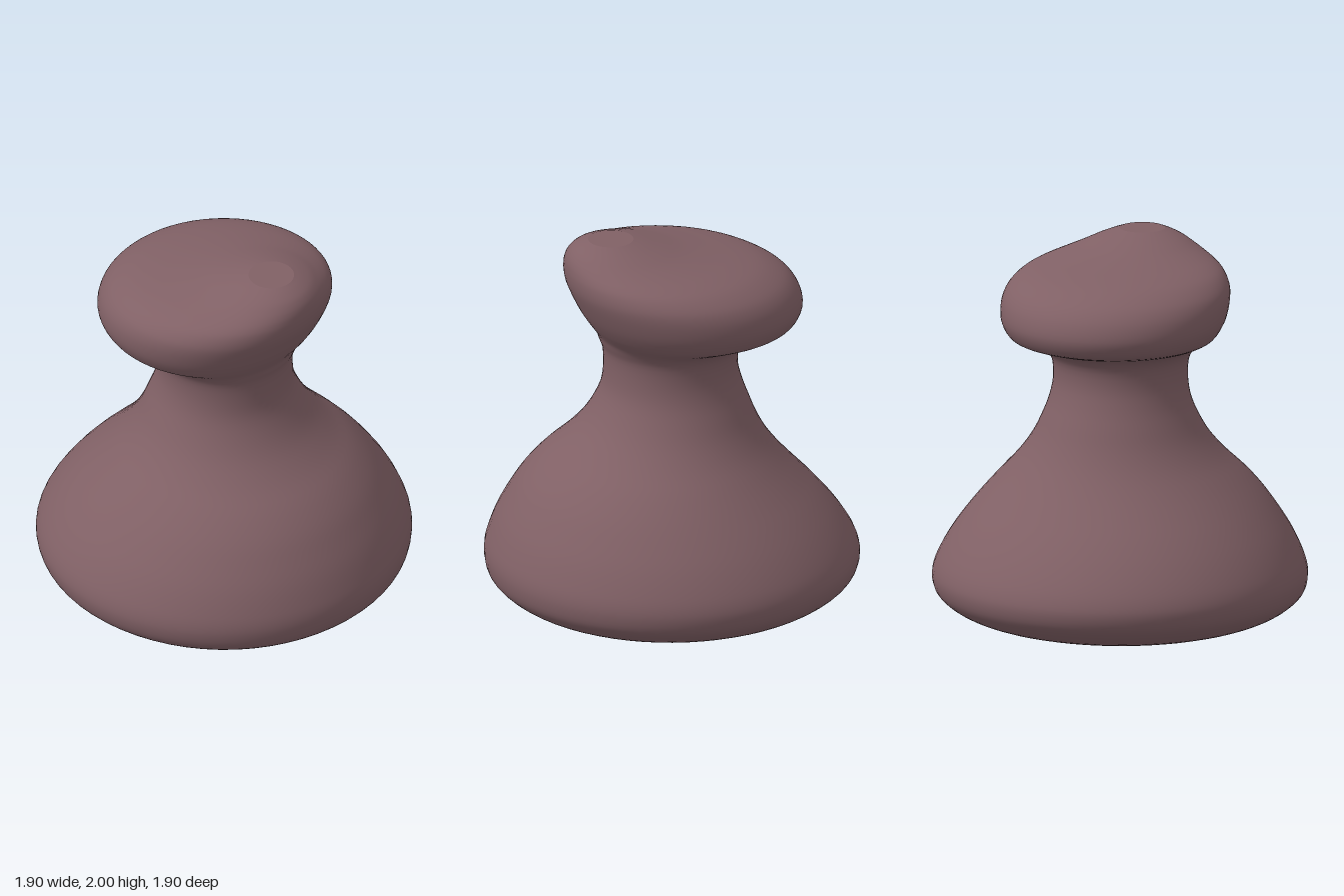
import * as THREE from 'three';

const SIDES = 64, RINGS = 110;

// Horizontal circular sections: [height, left edge x, right edge x]
const sections = [
  [0, -0.295, 0.3], [0.05, -0.64, 0.67], [0.1, -0.8, 0.815], [0.15, -0.885, 0.89],
  [0.2, -0.933, 0.932], [0.27, -0.952, 0.948], [0.33, -0.94, 0.945], [0.4, -0.905, 0.925],
  [0.5, -0.835, 0.885], [0.6, -0.75, 0.83], [0.7, -0.655, 0.765], [0.8, -0.565, 0.675],
  [0.9, -0.49, 0.56], [1, -0.435, 0.465], [1.1, -0.395, 0.4], [1.2, -0.358, 0.358],
  [1.3, -0.335, 0.347], [1.4, -0.345, 0.352], [1.45, -0.385, 0.37], [1.48, -0.46, 0.38],
  [1.5, -0.53, 0.39], [1.53, -0.615, 0.41], [1.56, -0.645, 0.432], [1.62, -0.665, 0.47],
  [1.7, -0.645, 0.51], [1.76, -0.6, 0.535], [1.8, -0.545, 0.545], [1.84, -0.46, 0.549],
  [1.87, -0.35, 0.548], [1.9, -0.2, 0.543], [1.93, -0.06, 0.53], [1.96, 0.05, 0.505],
  [1.985, 0.14, 0.465], [2, 0.2, 0.43],
];

// Loft circles along a smooth curve of (centre x, height, radius)
function loftGeometry() {
  const curve = new THREE.CatmullRomCurve3(
    sections.map(([y, l, r]) => new THREE.Vector3((l + r) / 2, y, (r - l) / 2)), false, 'centripetal');
  const pos = [], index = [];
  for (let i = 0; i <= RINGS; i++) {
    const p = curve.getPoint(i / RINGS);
    for (let j = 0; j < SIDES; j++) {
      const a = (j / SIDES) * Math.PI * 2;
      pos.push(p.x + p.z * Math.cos(a), THREE.MathUtils.clamp(p.y, 0, 2), p.z * Math.sin(a));
      if (i === RINGS) continue;
      const k = (j + 1) % SIDES, b = i * SIDES, t = b + SIDES;
      index.push(b + j, t + j, b + k, t + j, t + k, b + k);
    }
  }
  const g = new THREE.BufferGeometry();
  g.setAttribute('position', new THREE.Float32BufferAttribute(pos, 3));
  g.setIndex(index);
  g.computeVertexNormals();
  return g;
}

export function createModel() {
  const group = new THREE.Group();
  const clay = new THREE.MeshStandardMaterial({ color: 0x806065 });
  clay.name = 'dusty mauve';

  const add = (name, geometry) => {
    const mesh = new THREE.Mesh(geometry, clay);
    mesh.name = name;
    group.add(mesh);
  };

  // Flared base, waist and slanted head in one skin
  add('body', loftGeometry());

  // Flat discs closing both ends
  const cap = (name, [y, l, r], turn) => add(name,
    new THREE.CircleGeometry((r - l) / 2, SIDES).rotateX(turn).translate((l + r) / 2, y, 0));
  cap('foot', sections[0], Math.PI / 2);
  cap('topCap', sections[sections.length - 1], -Math.PI / 2);

  return group;
}
